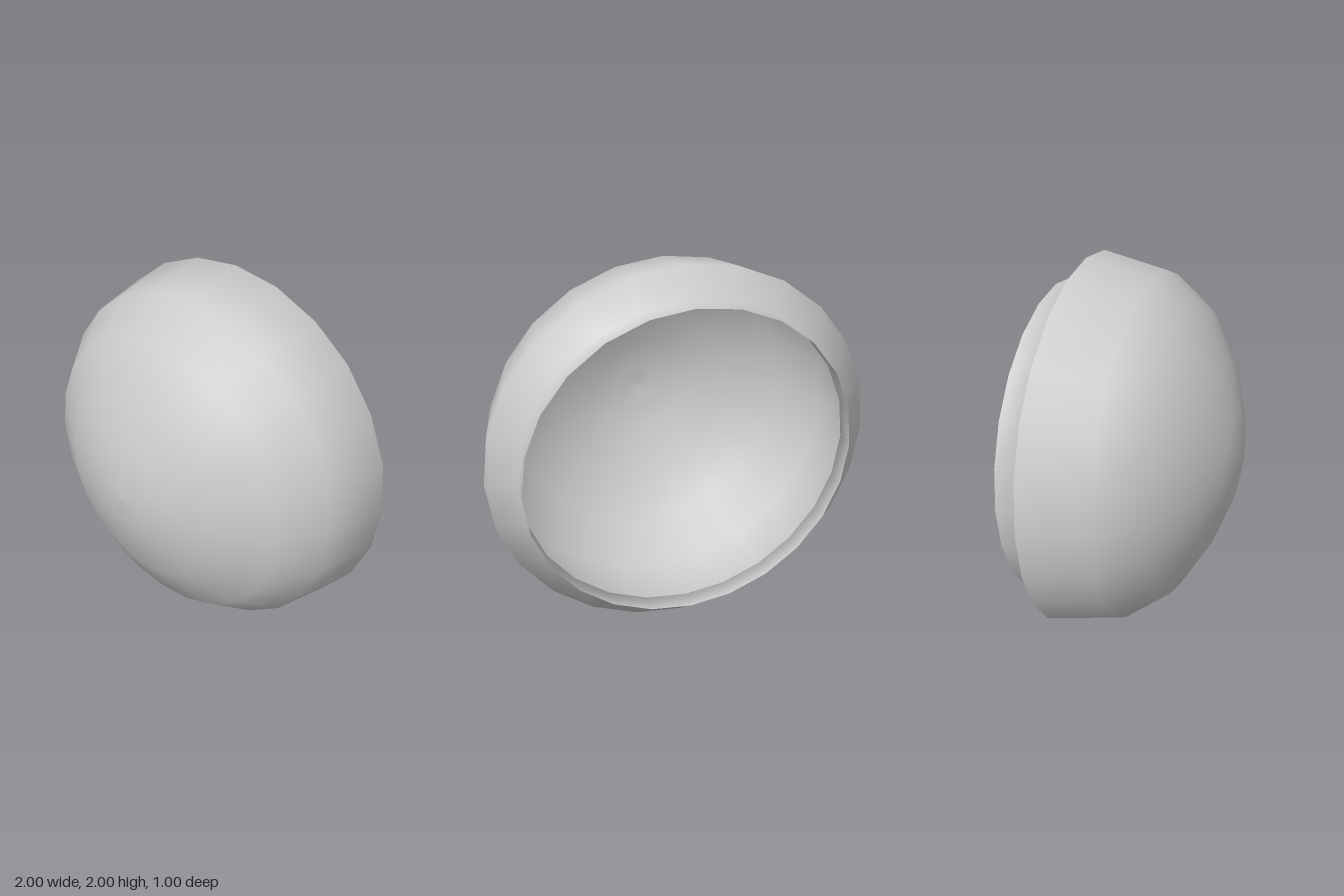
import * as THREE from 'three';

const SIDES = 24;

export function createModel() {
  const group = new THREE.Group();
  group.name = 'domeCap';

  // [radius, z] from the open neck, over the flared rim, to the dome's centre
  const profile = [
    [0.847, -0.5], [0.847, -0.4], [1, -0.33], [0.93, 0.01], [0.76, 0.23],
    [0.49, 0.385], [0.26, 0.465], [0.13, 0.49], [0, 0.5],
  ].map(([r, z]) => new THREE.Vector2(r, z));

  // Thin open shell, turned so its axis lies along z
  const geometry = new THREE.LatheGeometry(profile, SIDES);
  geometry.rotateX(Math.PI / 2);
  const material = new THREE.MeshStandardMaterial({
    color: 0xcccccc,
    side: THREE.DoubleSide,
  });
  const shell = new THREE.Mesh(geometry, material);
  shell.name = 'domeShell';
  shell.position.y = 1;
  group.add(shell);
  return group;
}
